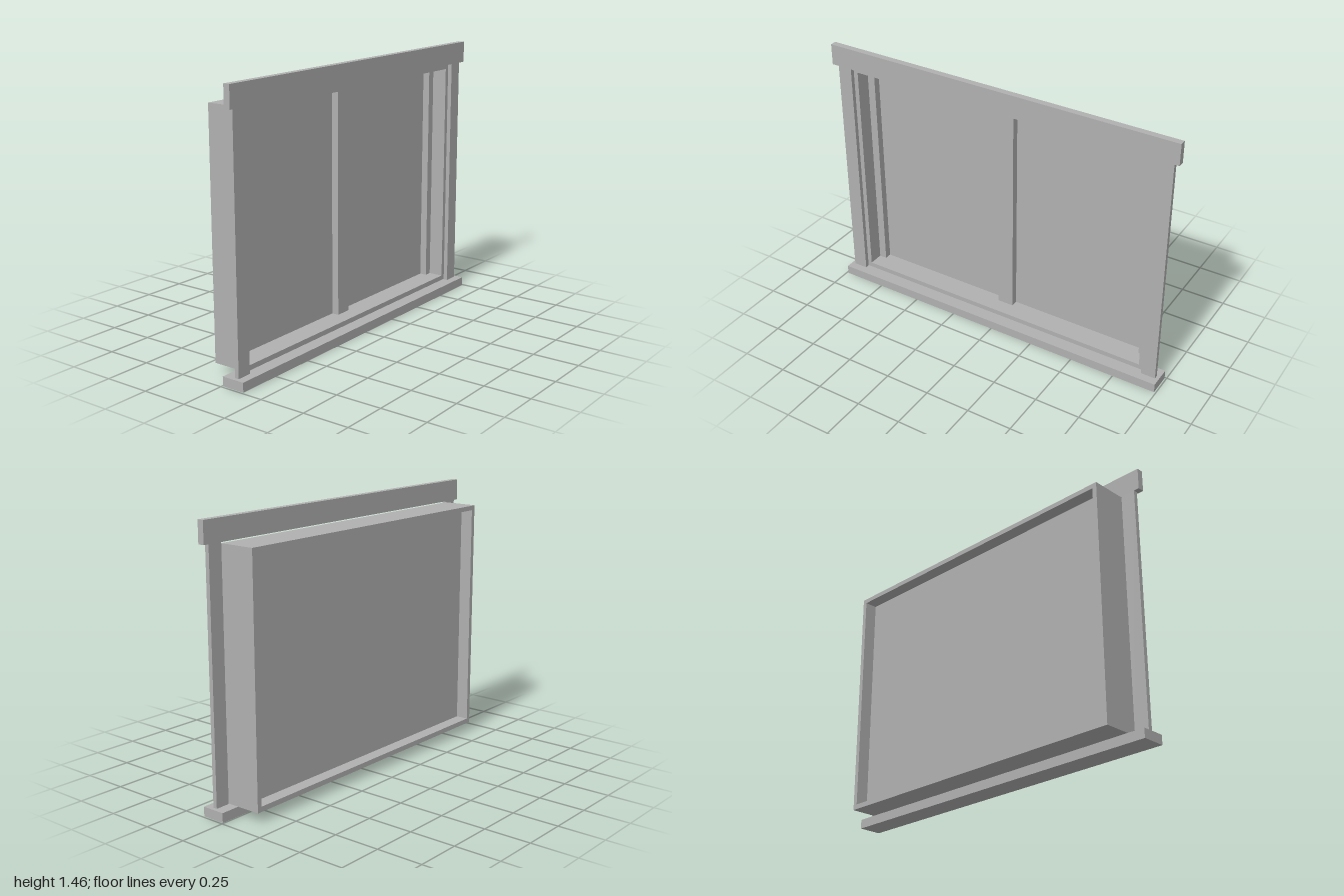
import * as THREE from 'three';

export function createModel() {
  const group = new THREE.Group();
  group.name = 'window';
  const grey = new THREE.MeshStandardMaterial({ color: 0xb0b0b0 });
  grey.name = 'grey';

  // Box given by its lower and upper limits on each axis
  const block = (name, [x0, x1], [y0, y1], [z0, z1]) => {
    const mesh = new THREE.Mesh(new THREE.BoxGeometry(x1 - x0, y1 - y0, z1 - z0), grey);
    mesh.position.set((x0 + x1) / 2, (y0 + y1) / 2, (z0 + z1) / 2);
    mesh.name = name;
    group.add(mesh);
  };

  const frontZ = 0.065, backZ = -0.133;   // frame depth
  const inX = 0.865, inY0 = 0.08, inY1 = 1.31;   // frame opening
  const paneZ = -0.057, stileZ = -0.018;

  // Deep frame with a rectangular opening
  const outline = new THREE.Shape([
    new THREE.Vector2(-0.89, 0.053), new THREE.Vector2(0.89, 0.053),
    new THREE.Vector2(0.89, 1.335), new THREE.Vector2(-0.89, 1.335),
  ]);
  outline.holes.push(new THREE.Path([
    new THREE.Vector2(-inX, inY0), new THREE.Vector2(-inX, inY1),
    new THREE.Vector2(inX, inY1), new THREE.Vector2(inX, inY0),
  ]));
  const frame = new THREE.Mesh(
    new THREE.ExtrudeGeometry(outline, { depth: frontZ - backZ, bevelEnabled: false }), grey);
  frame.position.z = backZ;
  frame.name = 'frame';
  group.add(frame);

  // Pane and the upright bars in front of it
  block('pane', [-inX, inX], [inY0, inY1], [paneZ - 0.006, paneZ]);
  block('mullion', [-0.046, 0.046], [inY0, inY1], [paneZ, stileZ]);
  block('rightStile', [-inX, -0.822], [inY0, inY1], [paneZ, stileZ]);
  block('leftStile', [0.822, inX], [inY0, inY1], [paneZ, stileZ]);

  // Trim around the front
  block('rightCasing', [-0.97, -0.89], [0.05, 1.34], [frontZ, 0.088]);
  block('leftCasing', [0.89, 0.97], [0.05, 1.34], [frontZ, 0.088]);
  block('header', [-1, 1], [1.34, 1.455], [frontZ, 0.1]);
  block('sill', [-0.99, 0.99], [0, 0.05], [0.005, 0.133]);

  return group;
}
